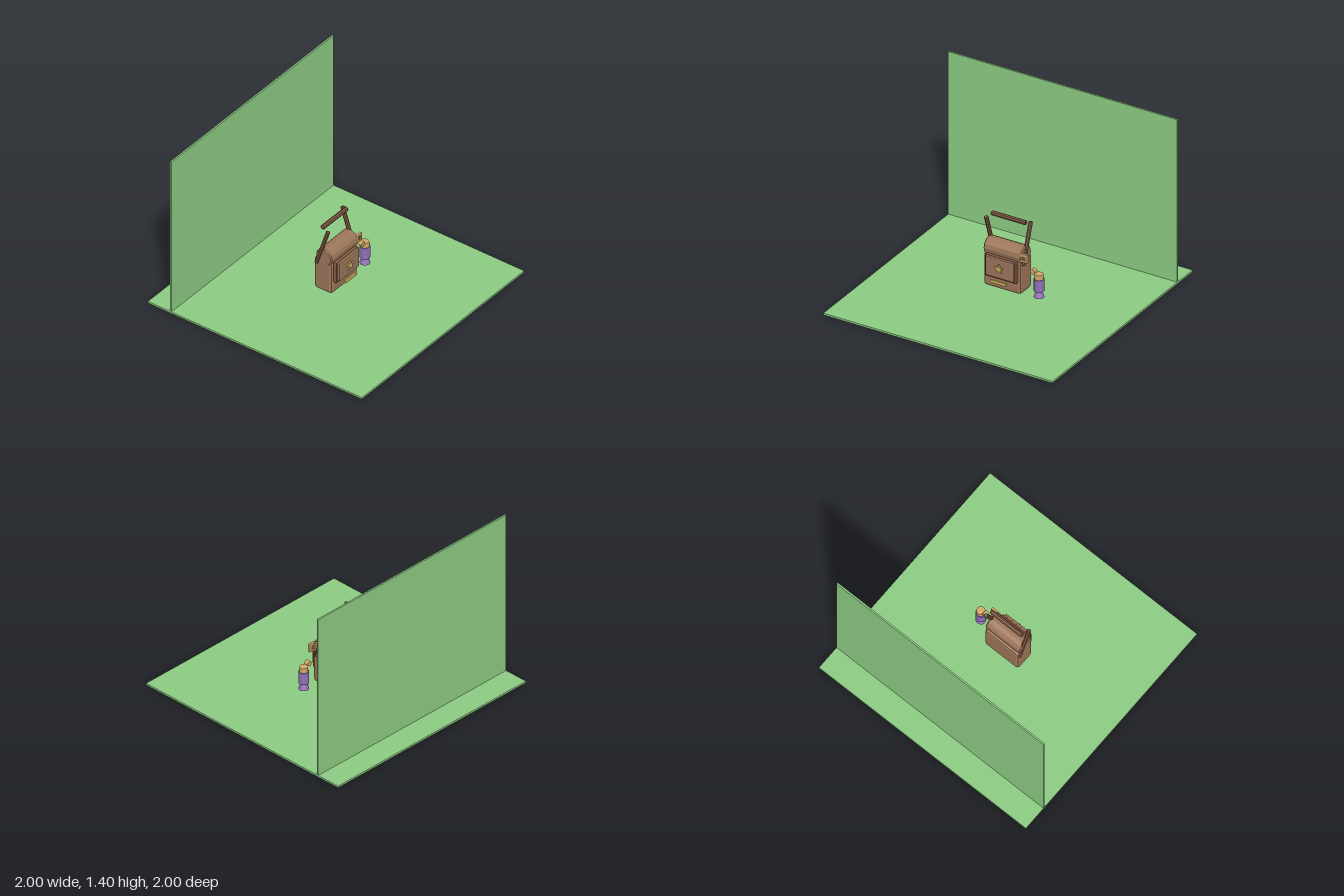
import * as THREE from 'three';
import { RoundedBoxGeometry } from 'three/addons/geometries/RoundedBoxGeometry.js';

const paint = (name, color) => {
  const m = new THREE.MeshStandardMaterial({ color, flatShading: true });
  m.name = name;
  return m;
};

export function createModel() {
  const model = new THREE.Group();
  model.name = 'satchelScene';
  const green = paint('backdropGreen', 0x8ccb82);
  const leather = paint('leatherBrown', 0x9c7559);
  const darkLeather = paint('darkLeather', 0x80583f);
  const brass = paint('brass', 0xcdb25f);
  const tan = paint('tanGold', 0xd3aa66);
  const purple = paint('bottlePurple', 0x9270b8);

  const add = (name, geometry, material, x, y, z, parent = model) => {
    const mesh = new THREE.Mesh(geometry, material);
    mesh.name = name;
    mesh.position.set(x, y, z);
    parent.add(mesh);
    return mesh;
  };
  const box = (w, h, d) => new THREE.BoxGeometry(w, h, d);
  const softBox = (w, h, d, r) => new RoundedBoxGeometry(w, h, d, 1, r);
  // Faceted rod with bevelled ends, running along y
  const rod = (r, length, sides, bevel) => new THREE.LatheGeometry([
    [0, -length / 2], [r - bevel, -length / 2], [r, -length / 2 + bevel],
    [r, length / 2 - bevel], [r - bevel, length / 2], [0, length / 2],
  ].map(([x, y]) => new THREE.Vector2(x, y)), sides);

  // Floor and upright backdrop
  add('floor', box(2, 0.016, 2), green, 0, 0.008, 0);
  add('backWall', box(2, 1.384, 0.014), green, 0, 0.708, -0.787);

  // Satchel body, rolled top and front pocket
  const bag = new THREE.Group();
  bag.name = 'satchel';
  model.add(bag);
  add('bagBody', softBox(0.325, 0.285, 0.165, 0.022), leather, -0.002, 0.21, 0, bag);
  add('rolledTop', rod(0.075, 0.33, 14, 0.008), leather, 0, 0.38, 0.01, bag).rotation.z = Math.PI / 2;
  add('pocketRim', softBox(0.28, 0.19, 0.035, 0.014), darkLeather, 0, 0.259, 0.093, bag);
  add('pocketFace', softBox(0.25, 0.165, 0.05, 0.01), leather, 0, 0.265, 0.102, bag);

  // Star badge
  const star = new THREE.Shape();
  for (let i = 0; i < 10; i++) {
    const a = Math.PI / 2 + i * Math.PI / 5;
    const r = i % 2 ? 0.018 : 0.041;
    star[i ? 'lineTo' : 'moveTo'](r * Math.cos(a), r * Math.sin(a));
  }
  star.closePath();
  add('starBadge', new THREE.ExtrudeGeometry(star, { depth: 0.014, bevelEnabled: false }), brass, 0, 0.27, 0.126, bag);
  add('claspBar', softBox(0.14, 0.025, 0.018, 0.005), brass, 0, 0.154, 0.136, bag);

  // Crossing side straps and carrying handle
  for (const side of [-1, 1]) {
    const strap = add(side < 0 ? 'rightStrap' : 'leftStrap', rod(0.017, 0.345, 8, 0.004),
      darkLeather, side * 0.161, 0.468, side < 0 ? -0.005 : -0.008, bag);
    strap.rotation.x = -side * 0.32;
  }
  add('handle', rod(0.019, 0.305, 8, 0.006), darkLeather, 0, 0.638, -0.014, bag).rotation.z = Math.PI / 2;

  // Square side buckle
  const frame = new THREE.Shape([[-0.03, -0.034], [0.03, -0.034], [0.03, 0.034], [-0.03, 0.034]]
    .map(([x, y]) => new THREE.Vector2(x, y)));
  frame.holes.push(new THREE.Path([[-0.015, -0.018], [-0.015, 0.018], [0.015, 0.018], [0.015, -0.018]]
    .map(([x, y]) => new THREE.Vector2(x, y))));
  add('buckleFrame', new THREE.ExtrudeGeometry(frame, { depth: 0.02, bevelEnabled: false }), tan, 0.185, 0.386, 0.06, bag);
  add('buckleInset', box(0.032, 0.038, 0.01), darkLeather, 0.185, 0.386, 0.068, bag);

  // Hanging bottle with flared foot, cap and knob
  const bottle = new THREE.Group();
  bottle.name = 'bottle';
  bottle.position.set(0.298, 0, 0.044);
  model.add(bottle);
  add('bottleBody', new THREE.CylinderGeometry(0.041, 0.041, 0.1, 12), purple, 0, 0.184, 0, bottle);
  add('bottleFoot', new THREE.CylinderGeometry(0.021, 0.041, 0.055, 12), purple, 0, 0.108, 0, bottle);
  add('bottleCap', new THREE.CylinderGeometry(0.034, 0.034, 0.042, 12), tan, 0, 0.254, 0, bottle);
  add('capKnob', new THREE.CylinderGeometry(0.02, 0.02, 0.038, 12), tan, -0.046, 0.285, 0, bottle).rotation.x = Math.PI / 2;

  return model;
}
